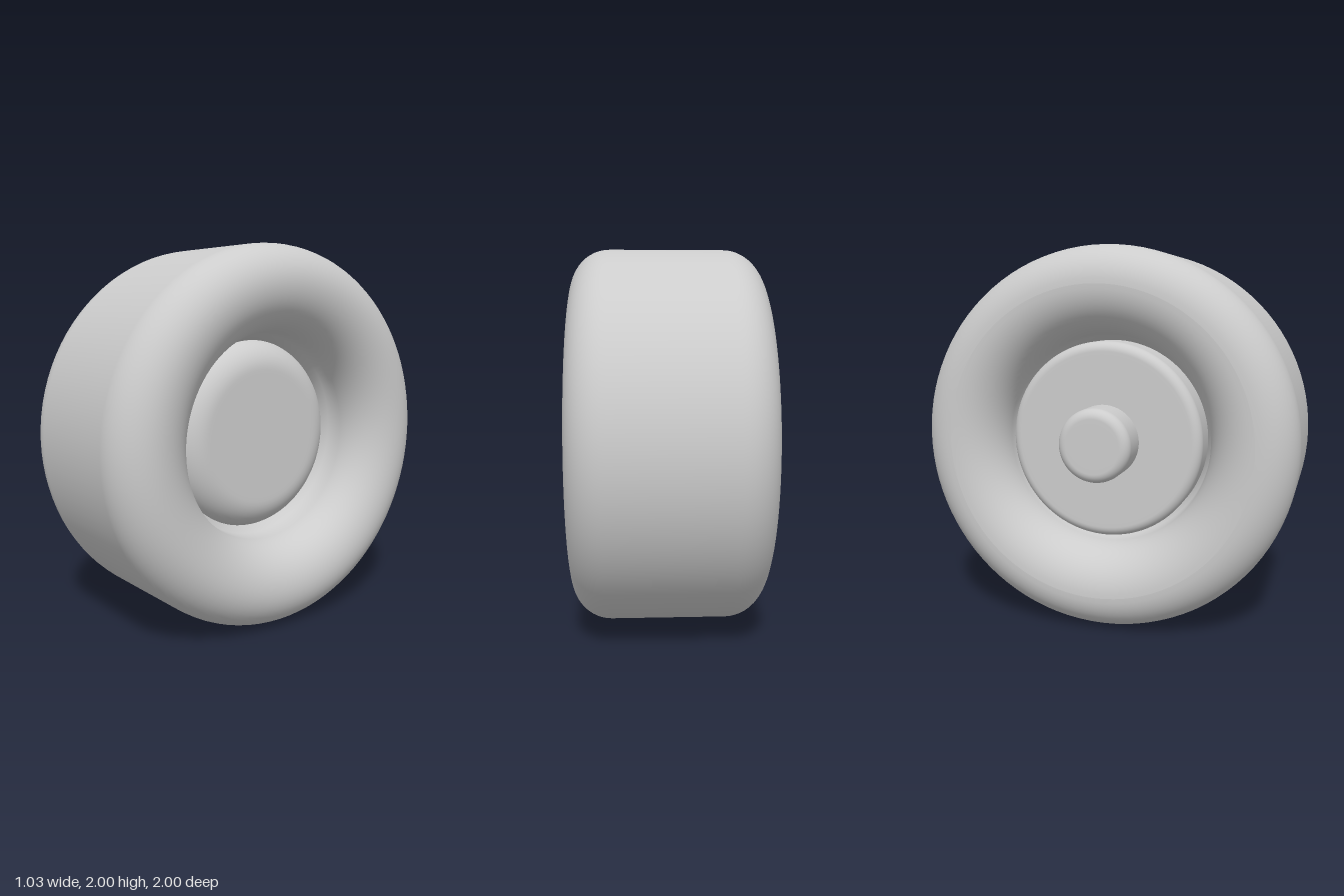
import * as THREE from 'three';

const grey = new THREE.MeshStandardMaterial({ color: 0xcccccc });
grey.name = 'plain grey';

// Profile points are (radius, position along the axle)
const P = (r, x) => new THREE.Vector2(r, x);

// Quarter (or other) arc of a profile, angles in degrees, 0 = outward, 90 = towards +x
function arc(r, x, rr, rx, from, to, n = 12) {
  return Array.from({ length: n + 1 }, (_, i) => {
    const a = THREE.MathUtils.degToRad(from + ((to - from) * i) / n);
    return P(r + rr * Math.cos(a), x + rx * Math.sin(a));
  });
}

// Turned part with its axis along x
function turned(name, points) {
  const geometry = new THREE.LatheGeometry(points, 96);
  geometry.rotateZ(-Math.PI / 2);
  const mesh = new THREE.Mesh(geometry, grey);
  mesh.name = name;
  return mesh;
}

export function createModel() {
  const wheel = new THREE.Group();
  wheel.name = 'wheel';

  // Tyre: flat tread, round shoulders, sidewalls that roll into the hub opening
  wheel.add(turned('tyre', [
    ...arc(0.8, -0.285, 0.2, 0.2, -90, 0),
    ...arc(0.8, 0.31, 0.2, 0.2, 0, 90),
    ...arc(0.8, 0.26, 0.25, 0.25, 90, 180, 16).slice(1),
    P(0.54, 0.2), P(0.5, 0.14),
    P(0.5, -0.12), P(0.54, -0.18),
    ...arc(0.8, -0.235, 0.25, 0.25, 180, 270, 16),
  ]));

  // Hub: flat back with a small round edge, softly rounded outer face
  wheel.add(turned('hub', [
    P(0, -0.33), P(0.2, -0.33), P(0.44, -0.33),
    ...arc(0.465, -0.28, 0.05, 0.05, -90, 0, 8),
    ...arc(0.355, 0.1, 0.16, 0.16, 0, 90),
    P(0.33, 0.26), P(0.15, 0.26), P(0, 0.26),
  ]));

  // Axle stub on the inner side
  wheel.add(turned('axleStub', [
    P(0, -0.52), P(0.1, -0.52),
    ...arc(0.14, -0.47, 0.05, 0.05, -90, 0, 8),
    P(0.19, -0.4), P(0.19, -0.3),
  ]));

  wheel.children.forEach((part) => { part.position.y = 1; });
  return wheel;
}
